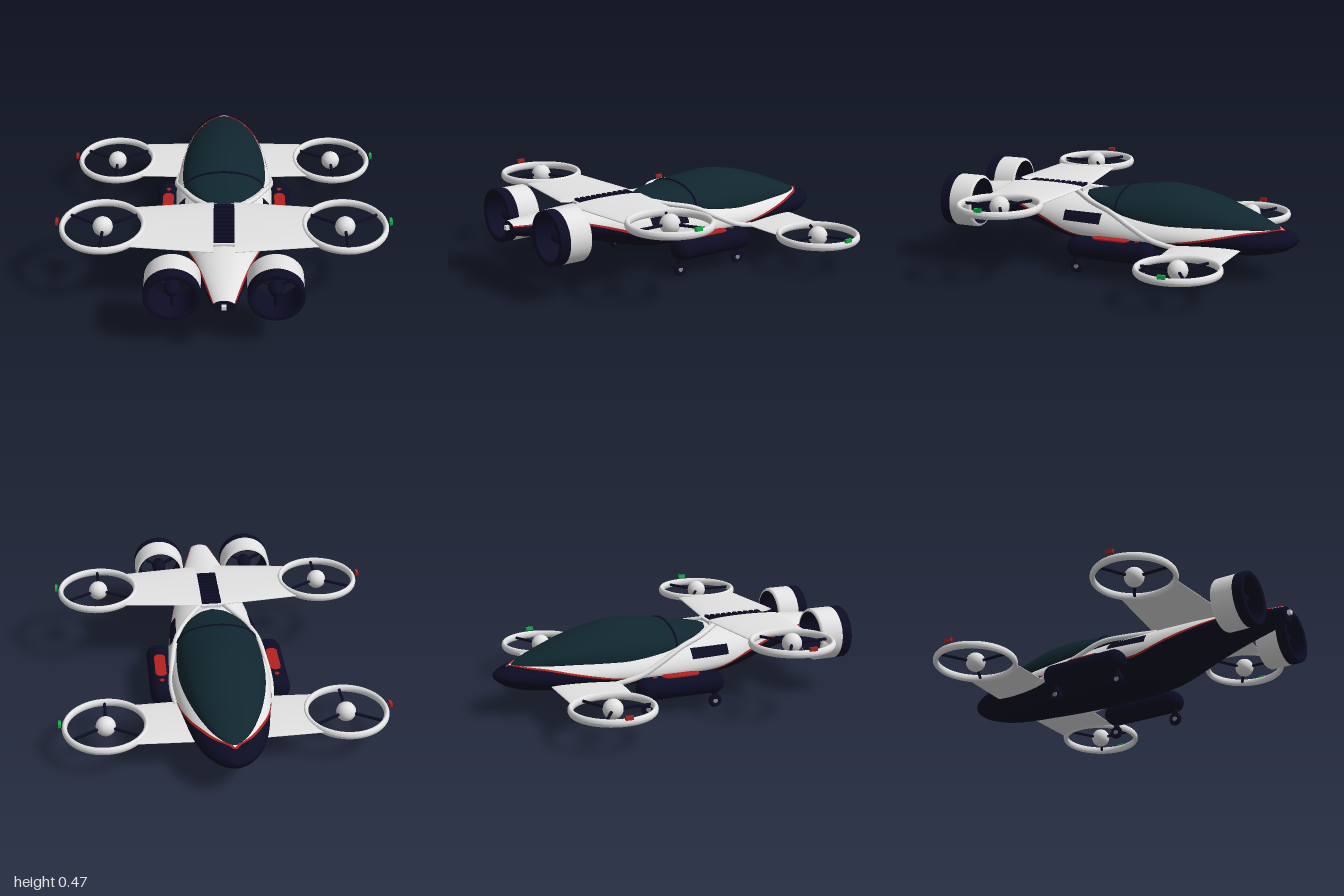
import * as THREE from 'three';
import { ParametricGeometry } from 'three/addons/geometries/ParametricGeometry.js';
import { RoundedBoxGeometry } from 'three/addons/geometries/RoundedBoxGeometry.js';

const mat = (name, color, side = THREE.FrontSide) => {
  const m = new THREE.MeshStandardMaterial({ color, side });
  m.name = name;
  return m;
};
const white = mat('white paint', 0xe2e2e2, THREE.DoubleSide);
const navy = mat('navy', 0x0c0c24, THREE.DoubleSide);
const glass = mat('canopy glass', 0x10262f);
const red = mat('red', 0xb4221f, THREE.DoubleSide);
const green = mat('green light', 0x10b548);
const grey = mat('wheel hub grey', 0x8a8a90);

const RAD = Math.PI / 180;
const { lerp, clamp } = THREE.MathUtils;

// Hull stations: z, half width, top, waist height, bottom, paint split angle
const HULL = [
  [-1, 0.008, 0.225, 0.218, 0.212, 90], [-0.985, 0.045, 0.238, 0.216, 0.19, 90],
  [-0.95, 0.088, 0.252, 0.213, 0.165, 90], [-0.925, 0.11, 0.261, 0.212, 0.154, 90],
  [-0.85, 0.155, 0.278, 0.21, 0.134, 57], [-0.74, 0.192, 0.297, 0.21, 0.122, 35],
  [-0.6, 0.219, 0.312, 0.21, 0.118, 14], [-0.4, 0.25, 0.33, 0.21, 0.115, -5],
  [-0.2, 0.266, 0.35, 0.21, 0.115, -15], [0, 0.262, 0.372, 0.212, 0.115, -17],
  [0.2, 0.24, 0.386, 0.222, 0.12, -16], [0.35, 0.213, 0.392, 0.245, 0.15, 0],
  [0.5, 0.178, 0.392, 0.285, 0.192, 6], [0.7, 0.13, 0.386, 0.318, 0.24, 20],
  [0.98, 0.058, 0.37, 0.335, 0.295, 28],
];

// Canopy stations: z, half width, edge height, top
const CANOPY = [
  [-0.9, 0.012, 0.264, 0.27], [-0.87, 0.05, 0.268, 0.284], [-0.8, 0.1, 0.275, 0.316],
  [-0.7, 0.146, 0.281, 0.358], [-0.6, 0.18, 0.285, 0.397], [-0.45, 0.214, 0.285, 0.44],
  [-0.3, 0.23, 0.287, 0.46], [-0.1, 0.223, 0.315, 0.44], [0, 0.196, 0.343, 0.42],
  [0.1, 0.143, 0.367, 0.402], [0.18, 0.062, 0.38, 0.39], [0.195, 0.01, 0.383, 0.386],
];

// Smooth interpolation of a station table at z
function at(rows, z) {
  let i = 0;
  while (i < rows.length - 2 && z > rows[i + 1][0]) i++;
  const a = rows[i], b = rows[i + 1], p = rows[Math.max(i - 1, 0)], n = rows[Math.min(i + 2, rows.length - 1)];
  const h = b[0] - a[0], t = clamp((z - a[0]) / h, 0, 1);
  return a.map((v, k) => {
    const m0 = (b[k] - p[k]) / (b[0] - p[0]) * h, m1 = (n[k] - v) / (n[0] - a[0]) * h;
    return (2 * t ** 3 - 3 * t * t + 1) * v + (t ** 3 - 2 * t * t + t) * m0
      + (3 * t * t - 2 * t ** 3) * b[k] + (t ** 3 - t * t) * m1;
  });
}

function hullPoint(z, angle, lift, out) {
  const [, w, top, waist, bottom] = at(HULL, z);
  const s = Math.sin(angle);
  return out.set((w + lift) * Math.cos(angle), waist + (s > 0 ? top - waist + lift : waist - bottom + lift) * s, z);
}
const split = z => Math.min(at(HULL, z)[5], 90) * RAD;

function canopyPoint(z, angle, lift, out) {
  const [, w, edge, top] = at(CANOPY, z);
  const s = Math.sin(angle);
  return out.set((w + lift) * Math.cos(angle), edge + (s > 0 ? top - edge + lift : 0.02) * s, z);
}

function add(parent, name, geometry, material, x = 0, y = 0, z = 0) {
  const m = new THREE.Mesh(geometry, material);
  m.name = name;
  m.position.set(x, y, z);
  parent.add(m);
  return m;
}

// Skin between two angles (functions of z) over a z range
function skin(z0, z1, from, to, lift, nu, nv, point = hullPoint, ease = 1) {
  return new ParametricGeometry((u, v, out) => {
    const z = lerp(z0, z1, v ** ease);
    point(z, lerp(from(z), to(z), u), lift, out);
  }, nu, nv);
}

// Three thin arms in the xz plane
function spokes(parent, length, r) {
  for (const a of [0, 120, 240]) {
    const g = new THREE.CylinderGeometry(r, r, length, 8).rotateX(Math.PI / 2).translate(0, 0, length / 2);
    add(parent, 'rotorArm', g.rotateY(a * RAD), navy);
  }
}

function wing(side, zc, y, x0, rootHalf, tipHalf, thick) {
  return new ParametricGeometry((u, v, out) => {
    const a = -side * u * 2 * Math.PI;
    const half = lerp(rootHalf, tipHalf, v), dz = half * Math.cos(a);
    const tip = 0.625 - Math.sqrt(0.22 ** 2 - Math.min(Math.abs(dz), 0.175) ** 2); // hollow tip hugging the ring
    out.set(side * lerp(x0, tip, v), y + thick * Math.sin(a), zc + dz);
  }, 48, 10);
}

function liftRotor(side, y, z) {
  const g = new THREE.Group();
  g.name = 'liftRotor';
  g.position.set(side * 0.625, y, z);
  const ring = [];
  for (let i = 0; i <= 16; i++) {
    const a = i / 16 * 2 * Math.PI;
    ring.push(new THREE.Vector2(0.211 + 0.014 * Math.cos(a), 0.021 * Math.sin(a)));
  }
  add(g, 'rotorRing', new THREE.LatheGeometry(ring, 64), white);
  add(g, 'rotorHub', new THREE.SphereGeometry(0.052, 24, 16), white);
  spokes(g, 0.205, 0.008);
  add(g, 'navigationLight', new THREE.BoxGeometry(0.014, 0.02, 0.04), side > 0 ? green : red, side * 0.234, 0.03, 0);
  return g;
}

function ductedFan(side) {
  const g = new THREE.Group();
  g.name = 'ductedFan';
  g.position.set(side * 0.257, 0.328, 0.82);
  g.rotation.x = Math.PI / 2;
  const lathe = pts => new THREE.LatheGeometry(pts.map(p => new THREE.Vector2(...p)), 48);
  add(g, 'ductShell', lathe([[0.126, -0.092], [0.136, -0.09], [0.142, -0.08], [0.142, 0.035]]), white);
  add(g, 'ductRearBand', lathe([[0.142, 0.035], [0.142, 0.086], [0.14, 0.092], [0.122, 0.092], [0.116, 0.086]]), navy);
  add(g, 'ductLining', lathe([[0.116, 0.086], [0.116, -0.08], [0.126, -0.092]]), navy);
  add(g, 'fanHub', new THREE.SphereGeometry(0.04, 20, 14).scale(1, 1.5, 1), navy);
  spokes(g, 0.12, 0.009);
  return g;
}

function landingPod(side) {
  const g = new THREE.Group();
  g.name = 'landingPod';
  g.position.x = side * 0.311;
  add(g, 'podBody', new RoundedBoxGeometry(0.132, 0.116, 0.49, 6, 0.056), navy, 0, 0.146, -0.067);
  const stadium = new THREE.Shape();
  stadium.absarc(0, 0.075, 0.03, 0, Math.PI).absarc(0, -0.075, 0.03, Math.PI, 2 * Math.PI);
  const panel = new THREE.ExtrudeGeometry(stadium, { depth: 0.009, bevelEnabled: false }).rotateX(-Math.PI / 2);
  add(g, 'podPanel', panel, red, 0, 0.198, -0.065);
  add(g, 'podMarker', new THREE.CylinderGeometry(0.015, 0.015, 0.008, 4), red, 0, 0.203, -0.21);
  for (const z of [0.135, -0.25]) {
    add(g, 'wheelStrut', new THREE.CylinderGeometry(0.014, 0.017, 0.06, 12), navy, 0, 0.078, z);
    add(g, 'tyre', new THREE.TorusGeometry(0.024, 0.013, 10, 24).rotateY(Math.PI / 2), navy, 0, 0.037, z);
    add(g, 'wheelHub', new THREE.CylinderGeometry(0.013, 0.013, 0.022, 16).rotateZ(Math.PI / 2), grey, 0, 0.037, z);
  }
  return g;
}

export function createModel() {
  const model = new THREE.Group();
  model.name = 'aircraft';

  // Fuselage
  const PI = Math.PI, start = -0.925, end = 0.98;
  add(model, 'lowerHull', skin(-1, end, z => PI - split(z), z => 2 * PI + split(z), 0, 48, 80, hullPoint, 1.5), navy);
  add(model, 'upperHull', skin(start, end, split, z => PI - split(z), 0, 40, 70), white);
  const band = z => 0.006 / Math.max(at(HULL, z)[1], 0.1) + 0.02;
  add(model, 'pinstripe', skin(start, end, z => split(z) - band(z), z => split(z) + band(z), 0.003, 3, 80), red);
  add(model, 'pinstripe', skin(start, end, z => PI - split(z) - band(z), z => PI - split(z) + band(z), 0.003, 3, 80), red);
  add(model, 'tailCap', new THREE.CircleGeometry(1, 32).scale(0.058, 0.038, 1), navy, 0, 0.333, end);
  add(model, 'tailLight', new THREE.BoxGeometry(0.022, 0.022, 0.02), white, 0, 0.338, 0.99);

  // Canopy and its seam
  add(model, 'canopy', skin(-0.9, 0.195, () => 0, () => 2 * PI, 0, 56, 56, canopyPoint), glass);
  const seam = [];
  for (let i = 0; i <= 16; i++) seam.push(canopyPoint(-0.045, i / 16 * PI, 0.001, new THREE.Vector3()));
  add(model, 'canopySeam', new THREE.TubeGeometry(new THREE.CatmullRomCurve3(seam), 40, 0.006, 8), navy);

  // Louvres between the rear wings
  add(model, 'louvreBed', new THREE.BoxGeometry(0.11, 0.02, 0.36), white, 0, 0.39, 0.39);
  for (let i = 0; i < 10; i++) {
    add(model, 'louvre', new THREE.BoxGeometry(0.108, 0.014, 0.02), navy, 0, 0.405, 0.24 + i * 0.034);
  }

  for (const side of [1, -1]) {
    add(model, 'frontWing', wing(side, -0.555, 0.177, 0.16, 0.182, 0.17, 0.015), white);
    add(model, 'rearWing', wing(side, 0.425, 0.406, 0.055, 0.22, 0.172, 0.018), white);
    model.add(liftRotor(side, 0.177, -0.555), liftRotor(side, 0.41, 0.425), ductedFan(side), landingPod(side));

    // Rail sweeping from the rear wing down to the front wing
    const path = [[0.065, 0.39, 0.24], [0.16, 0.358, 0.11], [0.222, 0.33, -0.02], [0.252, 0.265, -0.15],
      [0.266, 0.205, -0.28], [0.25, 0.172, -0.42]].map(([x, y, z]) => new THREE.Vector3(side * x, y, z));
    add(model, 'sideRail', new THREE.TubeGeometry(new THREE.CatmullRomCurve3(path), 48, 0.014, 10), white);

    // Side window following the hull
    const angle = y => z => {
      const [, , top, waist] = at(HULL, z);
      const a = Math.asin((y - waist) / (top - waist));
      return side > 0 ? a : PI - a;
    };
    const [lo, hi] = side > 0 ? [0.26, 0.31] : [0.31, 0.26];
    add(model, 'sideWindow', skin(0.03, 0.25, angle(lo), angle(hi), 0.004, 6, 12), navy);
  }
  return model;
}
